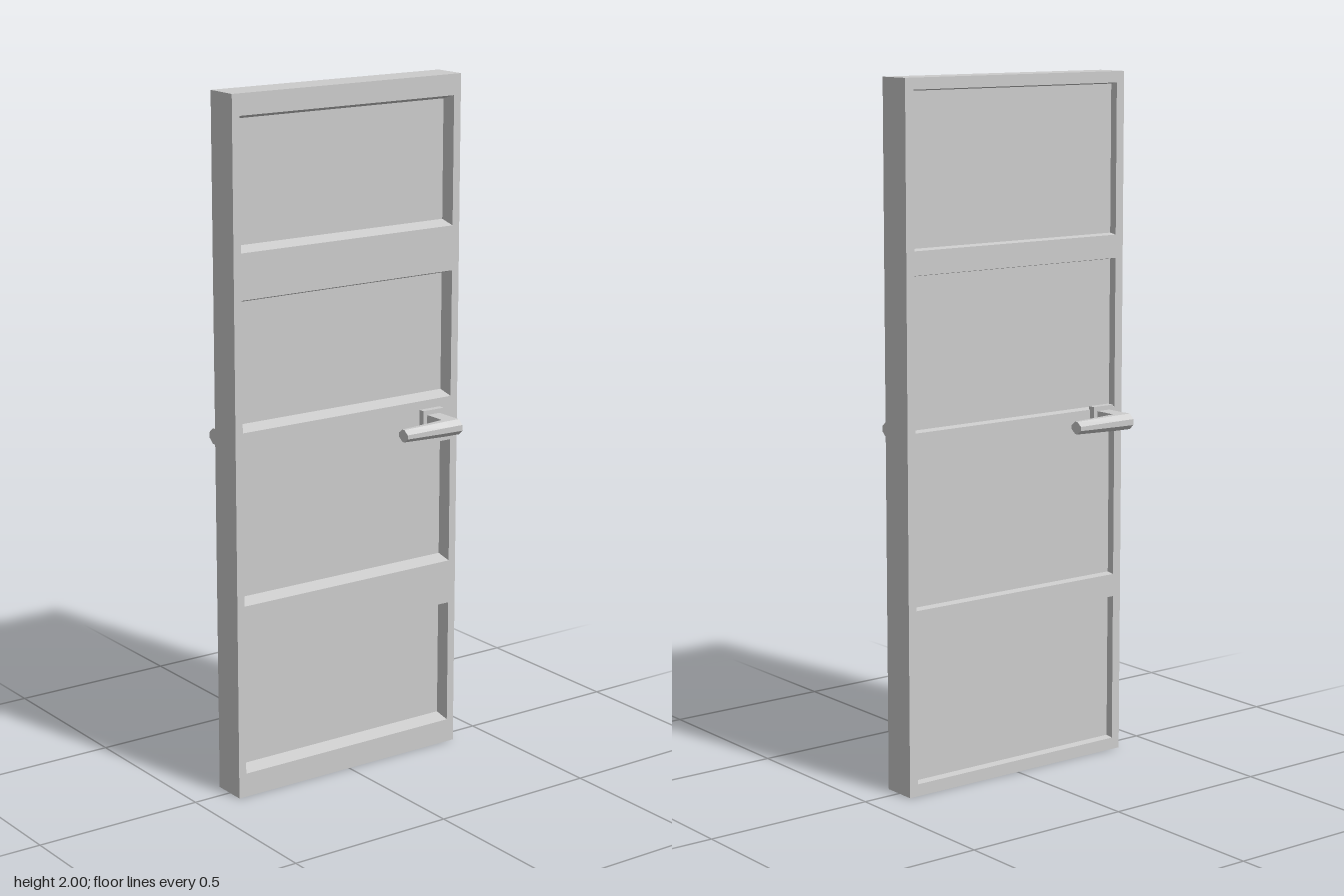
import * as THREE from 'three';

const grey = new THREE.MeshStandardMaterial({ color: 0xcccccc, flatShading: true });

// Joins rings of corners (counter-clockwise about the direction of travel) with flat faces
function loft(rings, capStart, capEnd) {
  const pos = [];
  const tri = (a, b, c) => pos.push(...a, ...b, ...c);
  const n = rings[0].length;
  for (let r = 0; r < rings.length - 1; r++) {
    const [a, b] = [rings[r], rings[r + 1]];
    for (let i = 0; i < n; i++) {
      const j = (i + 1) % n;
      tri(a[i], a[j], b[j]);
      tri(a[i], b[j], b[i]);
    }
  }
  const first = rings[0], last = rings[rings.length - 1];
  for (let i = 1; i < n - 1; i++) {
    if (capStart) tri(first[0], first[i + 1], first[i]);
    if (capEnd) tri(last[0], last[i], last[i + 1]);
  }
  const geometry = new THREE.BufferGeometry();
  geometry.setAttribute('position', new THREE.Float32BufferAttribute(pos, 3));
  geometry.computeVertexNormals();
  return geometry;
}

function add(parent, name, geometry) {
  const mesh = new THREE.Mesh(geometry, grey);
  mesh.name = name;
  parent.add(mesh);
  return mesh;
}

const rect = (x0, x1, y0, y1, z) => [[x0, y0, z], [x1, y0, z], [x1, y1, z], [x0, y1, z]];
const toPoints = ring => ring.map(([x, y]) => new THREE.Vector2(x, y));

const HALF = 0.384, HEIGHT = 2, FRONT = 0.05, BACK = -0.053;

// One face of the door: a frame with four recessed panels, facing +z
function doorFace(name, z, p) {
  const face = new THREE.Group();
  face.name = name;
  const shape = new THREE.Shape(toPoints(rect(-HALF, HALF, 0, HEIGHT, 0)));
  for (let i = 0; i < 4; i++) {
    const y0 = i * 0.5 + p.low, y1 = i * 0.5 + p.high;
    const outer = rect(-p.half, p.half, y0, y1, z);
    const inner = rect(-p.half + p.side, p.half - p.side, y0 + p.slope, y1 - p.slope, z - p.depth);
    shape.holes.push(new THREE.Path(toPoints(outer)));
    add(face, 'recessedPanel', loft([outer, inner], false, true));
  }
  add(face, 'frame', new THREE.ShapeGeometry(shape).translate(0, 0, z));
  return face;
}

// Chamfered eight-sided section of the lever at a given x
function leverSection(x, z0, z1, halfHeight, cut, cutY) {
  const h = halfHeight, k = h - cutY;
  return [[z0 + cut, -h], [z1 - cut, -h], [z1, -k], [z1, k], [z1 - cut, h], [z0 + cut, h], [z0, k], [z0, -k]]
    .map(([z, y]) => [x, y, z]);
}

function handle(name) {
  const group = new THREE.Group();
  group.name = name;
  const rosette = new THREE.BoxGeometry(0.072, 0.07, 0.022).translate(0.283, 0, 0.059);
  add(group, 'rosette', rosette);
  const stem = new THREE.BoxGeometry(0.0445, 0.044, 0.09).translate(0.2825, 0, 0.112);
  add(group, 'stem', stem);
  const lever = loft([
    leverSection(0.305, 0.122, 0.176, 0.0225, 0.016, 0.014),
    leverSection(0.26, 0.123, 0.175, 0.0222, 0.016, 0.014),
    leverSection(0.115, 0.129, 0.17, 0.018, 0.016, 0.012),
  ], true, true);
  add(group, 'lever', lever);
  return group;
}

export function createModel() {
  const model = new THREE.Group();
  model.name = 'door';

  // Outer edges of the slab
  const edges = loft([rect(-HALF, HALF, 0, HEIGHT, BACK), rect(-HALF, HALF, 0, HEIGHT, FRONT)], false, false);
  add(model, 'doorEdges', edges);

  // Front with deep panels, back with larger, shallower ones
  model.add(doorFace('frontFace', FRONT,
    { half: 0.36, low: 0.07, high: 0.44, side: 0.004, slope: 0.013, depth: 0.043 }));
  const back = doorFace('backFace', -BACK,
    { half: 0.357, low: 0.035, high: 0.468, side: 0.002, slope: 0.004, depth: 0.022 });
  back.rotation.y = Math.PI;
  model.add(back);

  // Handles on both sides
  const frontHandle = handle('frontHandle');
  frontHandle.position.y = 1.01;
  const backHandle = handle('backHandle');
  backHandle.rotation.y = Math.PI;
  backHandle.position.set(-0.017, 1.01, -0.002);
  model.add(frontHandle, backHandle);

  return model;
}
